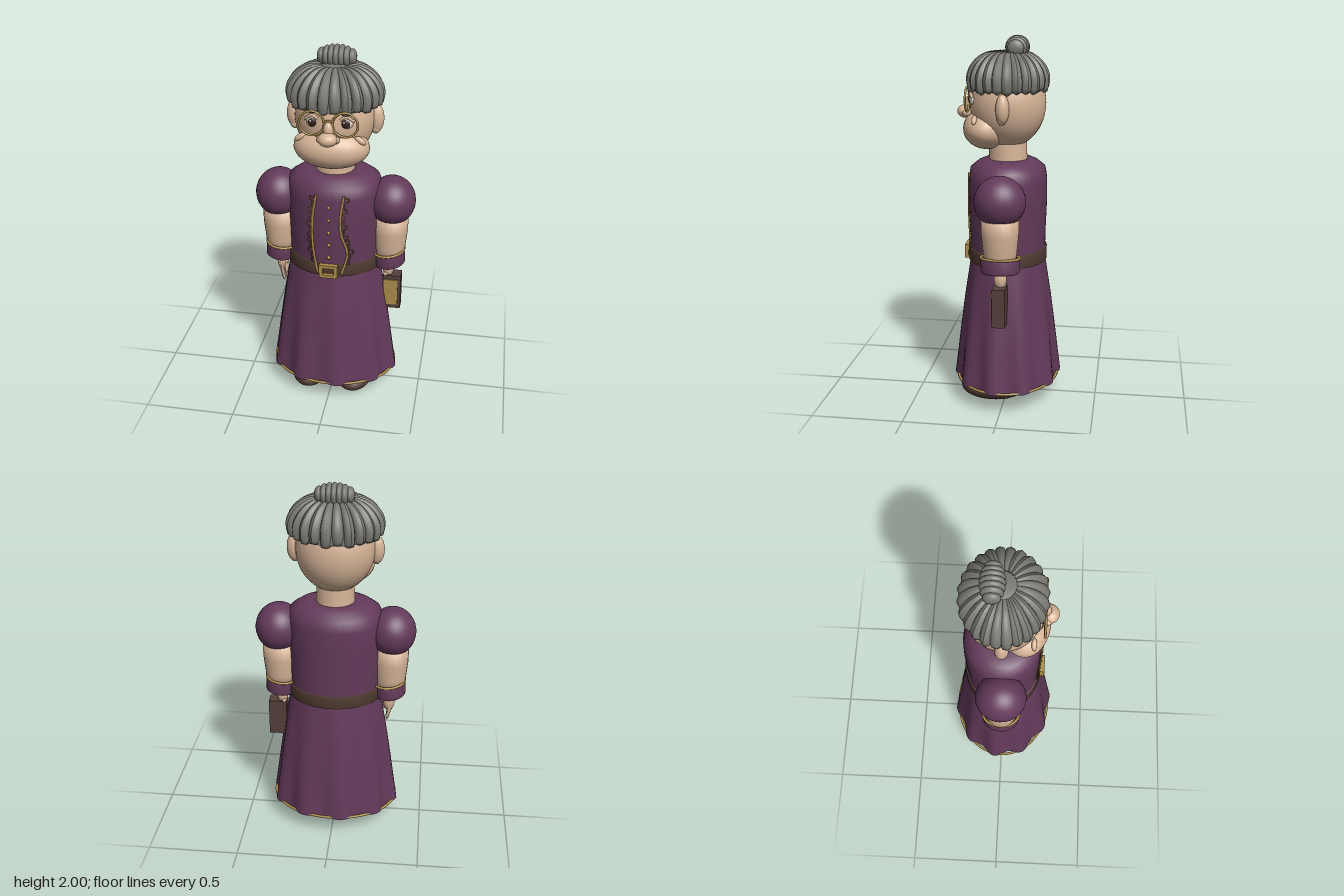
import * as THREE from 'three';

const mat = (name, color) => {
  const m = new THREE.MeshStandardMaterial({ color, side: THREE.DoubleSide });
  m.name = name;
  return m;
};
const V = (x, y, z) => new THREE.Vector3(x, y, z);

export function createModel() {
  const purple = mat('purple cloth', 0x633a5a), grey = mat('grey hair', 0x7b7a74);
  const skin = mat('skin', 0xd6b497), gold = mat('gold', 0xab8c4b);
  const leather = mat('belt leather', 0x4e3a30), cover = mat('book cover', 0x553f3a);
  const shoe = mat('shoe brown', 0x523a31), lace = mat('dark lace', 0x6d5a2c);
  const white = mat('eye white', 0xe4d9cc), dark = mat('dark eye', 0x35231f);
  const model = new THREE.Group();
  model.name = 'elderlyWoman';

  const add = (name, geo, m, x = 0, y = 0, z = 0, parent = model) => {
    const mesh = new THREE.Mesh(geo, m);
    mesh.name = name;
    mesh.position.set(x, y, z);
    parent.add(mesh);
    return mesh;
  };
  const ball = (name, m, x, y, z, rx, ry, rz, parent = model, w = 24, h = 16) => {
    const mesh = add(name, new THREE.SphereGeometry(1, w, h), m, x, y, z, parent);
    mesh.scale.set(rx, ry, rz);
    return mesh;
  };
  const lathe = (pts, seg = 40) =>
    new THREE.LatheGeometry(pts.map(p => new THREE.Vector2(p[0], p[1])), seg);
  const tube = (pts, r, seg = 24, sides = 6, closed = false) =>
    new THREE.TubeGeometry(new THREE.CatmullRomCurve3(pts, closed), seg, r, sides, closed);
  // tube whose radius follows a rule along its length
  const taperTube = (pts, r, rule, seg = 12, sides = 8) => {
    const curve = new THREE.CatmullRomCurve3(pts);
    const g = new THREE.TubeGeometry(curve, seg, r, sides);
    const p = g.attributes.position, v = V(0, 0, 0);
    for (let i = 0; i < p.count; i++) {
      const t = Math.floor(i / (sides + 1)) / seg, c = curve.getPointAt(t);
      v.fromBufferAttribute(p, i).sub(c).multiplyScalar(rule(t)).add(c);
      p.setXYZ(i, v.x, v.y, v.z);
    }
    g.computeVertexNormals();
    return g;
  };

  // skirt: flared oval with ten folds that deepen toward the hem
  const skirtGeo = lathe([[0.35, 0.115], [0.334, 0.24], [0.314, 0.4], [0.289, 0.58], [0.265, 0.72], [0.248, 0.82]], 80);
  const sp = skirtGeo.attributes.position;
  for (let i = 0; i < sp.count; i++) {
    const x = sp.getX(i), y = sp.getY(i), z = sp.getZ(i);
    const depth = 0.05 * Math.min(1, Math.max(0, (0.82 - y) / 0.7));
    const k = 1 + depth * Math.sin(10 * Math.atan2(z, x));
    sp.setXYZ(i, x * k, y, z * k * 0.81);
  }
  skirtGeo.computeVertexNormals();
  add('skirt', skirtGeo, purple);
  const hem = [];
  for (let i = 0; i < 32; i++) {
    const a = i / 32 * Math.PI * 2;
    hem.push(V(0.35 * Math.cos(a), 0.12, 0.28 * Math.sin(a)));
  }
  add('hemTrim', tube(hem, 0.008, 80, 6, true), gold);

  // bodice and belt
  add('bodice', lathe([[0.245, 0.8], [0.248, 0.95], [0.256, 1.12], [0.255, 1.24], [0.243, 1.3],
    [0.2, 1.33], [0.155, 1.347], [0.1, 1.347]]), purple).scale.z = 0.83;
  add('belt', lathe([[0.246, 0.79], [0.257, 0.793], [0.257, 0.86], [0.246, 0.863]]), leather).scale.z = 0.83;
  const frame = new THREE.Shape([[-0.05, -0.038], [0.05, -0.038], [0.05, 0.038], [-0.05, 0.038]].map(p => new THREE.Vector2(...p)));
  frame.holes.push(new THREE.Path([[-0.03, -0.02], [-0.03, 0.02], [0.03, 0.02], [0.03, -0.02]].map(p => new THREE.Vector2(...p))));
  add('buckle', new THREE.ExtrudeGeometry(frame, { depth: 0.025, bevelEnabled: false }), gold, 0, 0.828, 0.208);
  for (let i = 0; i < 5; i++) ball('button', gold, 0, 1.205 - i * 0.075, 0.208, 0.01, 0.01, 0.01, model, 10, 8);

  // front trims edged with small lace loops
  const front = (x, y) => V(x, y, 0.207 * Math.sqrt(1 - (x / 0.252) ** 2) + 0.004);
  const trims = [[[-0.066, 1.275], [-0.085, 1.15], [-0.09, 1.02], [-0.08, 0.91], [-0.06, 0.81]],
    [[0.08, 1.275], [0.062, 1.15], [0.066, 1.05], [0.098, 0.93], [0.07, 0.81]]];
  trims.forEach((pts, n) => {
    const path = pts.map(p => front(p[0], p[1])), s = n ? 1 : -1;
    add('bodiceTrim', tube(path, 0.007, 30), gold);
    const curve = new THREE.CatmullRomCurve3(path);
    for (let i = 1; i < 15; i++) {
      const c = curve.getPointAt(i / 15);
      const w = 0.022 + 0.008 * Math.sin(i * 2.4);
      const loop = [front(c.x, c.y + 0.01), front(c.x + s * w, c.y + 0.014), front(c.x + s * w, c.y - 0.006), front(c.x, c.y - 0.01)];
      add('laceLoop', tube(loop, 0.003, 8, 4), lace);
    }
  });

  // arms
  for (const s of [-1, 1]) {
    const arm = new THREE.Group();
    arm.name = s > 0 ? 'leftArm' : 'rightArm';
    model.add(arm);
    const puff = add('puffSleeve', new THREE.SphereGeometry(1, 28, 18, 0, Math.PI * 2, 0, 2.55), purple, s * 0.308, 1.175, 0, arm);
    puff.scale.set(0.128, 0.135, 0.135);
    add('forearm', lathe([[0, 0.81], [0.075, 0.82], [0.088, 0.9], [0.098, 1.0], [0.1, 1.1], [0, 1.13]], 24), skin, s * 0.302, 0, 0, arm);
    const cuff = new THREE.Group();
    cuff.name = 'cuff';
    cuff.position.set(s * 0.3, 0.832, 0);
    cuff.rotation.z = s * 0.09;
    cuff.scale.z = 1.16;
    arm.add(cuff);
    add('cuffCloth', lathe([[0, -0.03], [0.082, -0.04], [0.088, -0.035], [0.091, 0.04], [0.078, 0.04]], 24), purple, 0, 0, 0, cuff);
    const ring = add('cuffTrim', new THREE.TorusGeometry(0.088, 0.007, 8, 32), gold, 0, 0.042, 0, cuff);
    ring.rotation.x = Math.PI / 2;
    if (s < 0) {
      ball('palm', skin, -0.3, 0.745, 0, 0.032, 0.065, 0.036, arm);
      for (let i = 0; i < 4; i++) {
        const z = -0.024 + i * 0.016, d = i === 0 ? 0.02 : 0;
        add('finger', taperTube([V(-0.305, 0.73, z), V(-0.3, 0.68, z), V(-0.288, 0.622 + d, z)], 0.012,
          t => t === 1 ? 0 : 1 - 0.35 * t, 8), skin, 0, 0, 0, arm);
      }
      ball('thumb', skin, -0.275, 0.71, 0.028, 0.011, 0.036, 0.011, arm, 12, 8);
    } else {
      ball('palm', skin, 0.3, 0.755, 0, 0.032, 0.055, 0.034, arm);
      for (let i = 0; i < 4; i++) ball('finger', skin, 0.288, 0.715, -0.024 + i * 0.016, 0.014, 0.022, 0.01, arm, 10, 8);
    }
  }

  // book held in the left hand
  add('book', new THREE.BoxGeometry(0.1, 0.21, 0.07), cover, 0.325, 0.615, 0);
  add('bookPanel', new THREE.BoxGeometry(0.078, 0.16, 0.008), gold, 0.319, 0.615, 0.037);

  // legs and shoes
  for (const s of [-1, 1]) {
    add('stocking', new THREE.CylinderGeometry(0.08, 0.075, 0.5, 20), shoe, s * 0.125, 0.33, 0);
    ball('shoe', shoe, s * 0.128, 0.068, 0.065, 0.11, 0.068, 0.178);
  }

  // neck and head
  add('neck', new THREE.CylinderGeometry(0.1, 0.106, 0.14, 28), skin, 0, 1.385, 0);
  ball('skull', skin, 0, 1.645, 0, 0.21, 0.238, 0.203, model, 36, 24);
  ball('jowls', skin, 0, 1.51, 0.11, 0.198, 0.112, 0.13, model, 32, 20);
  ball('noseTip', skin, 0, 1.597, 0.232, 0.05, 0.036, 0.043);
  ball('noseBridge', skin, 0, 1.635, 0.2, 0.028, 0.05, 0.035);
  for (const s of [-1, 1]) {
    ball('nostril', skin, s * 0.038, 1.592, 0.218, 0.022, 0.02, 0.024, model, 14, 10);
    ball('cheekFold', skin, s * 0.155, 1.572, 0.157, 0.034, 0.016, 0.014, model, 14, 10).rotation.z = s * -0.6;
    ball('ear', skin, s * 0.215, 1.637, 0, 0.04, 0.077, 0.036);
    ball('earLobe', skin, s * 0.213, 1.585, 0.005, 0.025, 0.03, 0.024, model, 14, 10);

    // eyes, brows and spectacles
    ball('eyeball', white, s * 0.085, 1.67, 0.168, 0.036, 0.034, 0.026);
    ball('iris', dark, s * 0.085, 1.668, 0.187, 0.023, 0.023, 0.01, model, 16, 10);
    ball('eyeGlint', white, s * 0.085 - 0.008, 1.677, 0.195, 0.006, 0.006, 0.004, model, 8, 6);
    add('eyelid', tube([V(s * 0.046, 1.678, 0.182), V(s * 0.085, 1.706, 0.188), V(s * 0.125, 1.678, 0.17)], 0.009, 12), skin);
    add('eyebrow', taperTube([V(s * 0.045, 1.728, 0.192), V(s * 0.085, 1.742, 0.186), V(s * 0.13, 1.728, 0.165)], 0.013,
      t => Math.sin(Math.PI * t)), grey);
    add('spectacleRim', new THREE.TorusGeometry(0.064, 0.006, 8, 36), gold, s * 0.085, 1.67, 0.206);
  }
  add('spectacleBridge', tube([V(-0.024, 1.675, 0.206), V(0, 1.69, 0.212), V(0.024, 1.675, 0.206)], 0.006, 10), gold);

  // hair: dome, ring of combed locks, lobed bun
  add('hairDome', new THREE.SphereGeometry(1, 36, 14, 0, Math.PI * 2, 0, Math.PI / 2), grey, 0, 1.722, 0).scale.set(0.225, 0.19, 0.203);
  const locks = 24;
  for (let i = 0; i < locks; i++) {
    const a = (i + 0.5) / locks * Math.PI * 2, c = Math.cos(a), s = Math.sin(a) * 0.85;
    const end = 1.708 + 0.008 * Math.sin(i * 2.7);
    const pts = [[0.07, 1.902], [0.13, 1.892], [0.19, 1.85], [0.226, 1.785], [0.217, end]].map(p => V(p[0] * c, p[1], p[0] * s));
    add('hairLock', taperTube(pts, 0.029, t => t === 1 ? 0 : 0.45 + 0.55 * Math.sin(Math.PI * Math.min(1, t * 0.62 + 0.03)), 16), grey);
  }
  for (let i = -3; i <= 3; i++) {
    const h = Math.sqrt(1 - (i / 4.1) ** 2);
    ball('bunLobe', grey, i * 0.026, 1.938, -0.05, 0.025, 0.062 * h, 0.064 * h, model, 16, 14);
  }
  return model;
}
